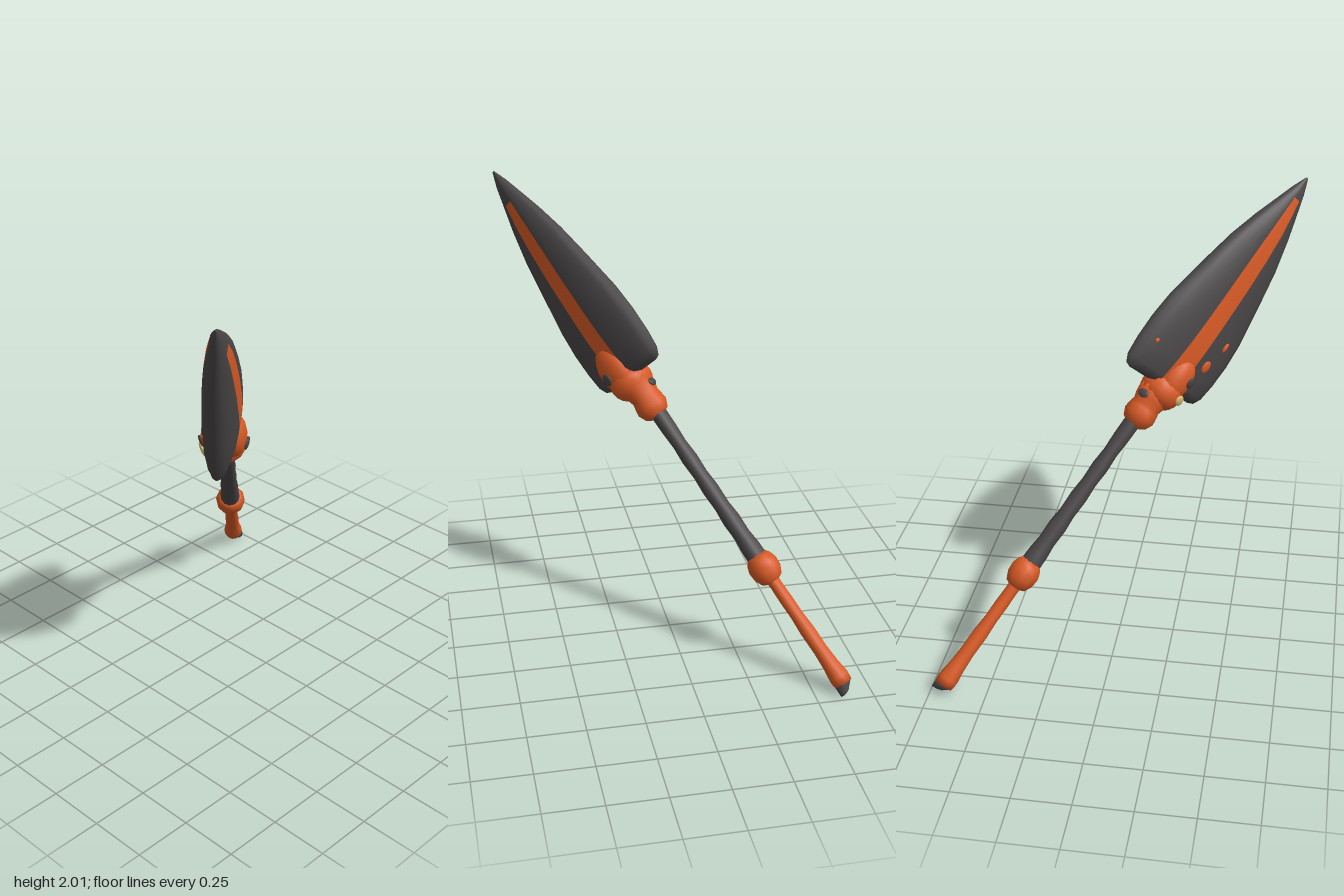
import * as THREE from 'three';

const mat = (name, color) => {
  const m = new THREE.MeshStandardMaterial({ color });
  m.name = name;
  return m;
};

export function createModel() {
  const iron = mat('dark iron', 0x4a4647);
  const orange = mat('burnt orange', 0xd85a25);
  const amber = mat('pale amber', 0xe0c07a);

  // The spear is built upright along y, with the blade's width along x, then tilted
  const spear = new THREE.Group();
  spear.name = 'spear';
  const add = (name, geometry, material) => {
    const m = new THREE.Mesh(geometry, material);
    m.name = name;
    spear.add(m);
    return m;
  };
  const turned = (name, material, profile, sides = 12) =>
    add(name, new THREE.LatheGeometry(profile.map(([y, r]) => new THREE.Vector2(r, y)), sides), material);
  const lump = (name, material, center, radii, turn = 0) => {
    const m = add(name, new THREE.SphereGeometry(1, 14, 10), material);
    m.position.set(...center);
    m.scale.set(...radii);
    m.rotation.y = turn;
  };

  // Handle, flared at the butt
  turned('lowerHandle', orange, [
    [0.025, 0], [0.025, 0.042], [0.06, 0.046], [0.12, 0.038], [0.2, 0.033], [0.3, 0.034],
    [0.38, 0.029], [0.46, 0.03], [0.54, 0.028], [0.6, 0.035]]);
  const butt = turned('buttCap', iron, [[-0.015, 0], [-0.012, 0.024], [0.03, 0.042], [0.035, 0]]);
  // Pull the cap to a slanted point at the back
  const bp = butt.geometry.attributes.position;
  for (let i = 0; i < bp.count; i++) {
    if (bp.getY(i) < 0) {
      bp.setZ(i, bp.getZ(i) - 0.025);
      bp.setY(i, bp.getY(i) + 0.3 * bp.getZ(i) + 0.012);
    }
  }
  butt.geometry.computeVertexNormals();

  // Knob between handle and shaft
  turned('knob', orange, [
    [0.555, 0.028], [0.565, 0.05], [0.6, 0.067], [0.64, 0.07], [0.67, 0.06], [0.69, 0.046], [0.694, 0]], 10);

  // Uneven shaft
  turned('shaft', iron, [
    [0.66, 0.047], [0.74, 0.045], [0.8, 0.039], [0.88, 0.042], [0.95, 0.036], [1.04, 0.039],
    [1.12, 0.034], [1.2, 0.038], [1.28, 0.033], [1.36, 0.037], [1.46, 0.038]]);

  // Collar: ring, bulb and a tapering lobe gripping each face of the blade
  const collar = turned('collarRing', orange, [
    [1.435, 0.035], [1.45, 0.058], [1.485, 0.074], [1.52, 0.069], [1.54, 0.065], [1.57, 0.074],
    [1.62, 0.08], [1.68, 0]], 14);
  collar.position.x = 0.01;
  lump('collarBulb', orange, [0.027, 1.635, 0], [0.1, 0.09, 0.1]);
  lump('frontLobe', orange, [0.03, 1.71, 0.045], [0.072, 0.11, 0.052]);
  lump('backLobe', orange, [0.028, 1.71, -0.045], [0.088, 0.12, 0.054]);

  // Blade stations: height, half width, half thickness, stripe half width
  const stations = [
    [1.645, 0.185, 0, 0.05], [1.655, 0.213, 0.038, 0.05], [1.69, 0.23, 0.06, 0.05],
    [1.77, 0.238, 0.07, 0.049], [1.88, 0.239, 0.075, 0.047], [2.0, 0.228, 0.075, 0.045],
    [2.2, 0.187, 0.07, 0.042], [2.36, 0.152, 0.062, 0.038], [2.5, 0.108, 0.052, 0.031],
    [2.6, 0.071, 0.039, 0.022], [2.66, 0.049, 0.03, 0.016], [2.7, 0.034, 0.024, 0.01],
    [2.766, 0.006, 0.004, 0.002], [2.768, 0.001, 0, 0.0003]];
  const skew = 0.06; // the blade is turned slightly about its length
  const steps = [0, 0.3, 0.6, 0.82, 0.95, 1];
  const n = steps.length;
  const ring = 4 * n - 2;
  const positions = [], dark = [], stripe = [];
  stations.forEach(([y, w, t, s]) => {
    const k = Math.min(s / w, 0.5);
    const half = steps.map((q) => k + (1 - k) * q);
    const across = [...half.map((f) => -f).reverse(), ...half];
    const lean = 0.08 * Math.max(0, 1 - (y - 1.645) / 0.4); // one barb sits higher
    const put = (f, side) => positions.push(
      f * w, y + lean * f * w, skew * f * w + side * t * Math.pow(Math.max(0, 1 - f * f), 0.5));
    across.forEach((f) => put(f, 1));
    across.slice(1, -1).reverse().forEach((f) => put(f, -1));
  });
  for (let j = 0; j < stations.length - 1; j++) {
    for (let i = 0; i < ring; i++) {
      const a = j * ring + i, b = j * ring + (i + 1) % ring;
      // The stripe runs a little further on the front
      const end = i === n - 1 ? 2.66 : i === 3 * n - 2 ? 2.6 : 0;
      (stations[j][0] < end ? stripe : dark).push(a, b, b + ring, a, b + ring, a + ring);
    }
  }
  const bladeGeo = new THREE.BufferGeometry();
  bladeGeo.setAttribute('position', new THREE.Float32BufferAttribute(positions, 3));
  bladeGeo.setIndex([...dark, ...stripe]);
  bladeGeo.addGroup(0, dark.length, 0);
  bladeGeo.addGroup(dark.length, stripe.length, 1);
  bladeGeo.computeVertexNormals();
  add('blade', bladeGeo, [iron, orange]);

  // Shallow inlays and worn flecks
  lump('gem', amber, [0.076, 1.64, 0.087], [0.036, 0.024, 0.009], 0.5);
  lump('frontInlay', iron, [0.068, 1.73, 0.089], [0.028, 0.026, 0.009], 0.5);
  lump('backInlay', iron, [0.05, 1.69, -0.099], [0.03, 0.028, 0.009], -0.2);
  lump('sideInlay', iron, [-0.06, 1.575, 0.02], [0.028, 0.02, 0.009], -1.25);
  lump('bladeFleck', orange, [0.129, 1.95, 0.071], [0.011, 0.024, 0.007], 0.2);
  lump('bladeFleck', orange, [0.1, 1.83, 0.073], [0.022, 0.03, 0.007], 0.15);
  lump('bladeFleck', orange, [-0.18, 1.79, 0.036], [0.009, 0.011, 0.007], -0.5);

  // Tilt the spear along the diagonal
  const base = new THREE.Vector3(-0.64, 0.02, -0.7);
  const along = new THREE.Vector3(0.66, 2, 0.73).sub(base).normalize();
  const face = new THREE.Vector3(0.44, -0.7, 0.565).cross(along).normalize();
  const width = new THREE.Vector3().crossVectors(along, face);
  spear.applyMatrix4(new THREE.Matrix4().makeBasis(width, along, face).setPosition(base));

  const model = new THREE.Group();
  model.name = 'spearModel';
  model.add(spear);
  return model;
}
